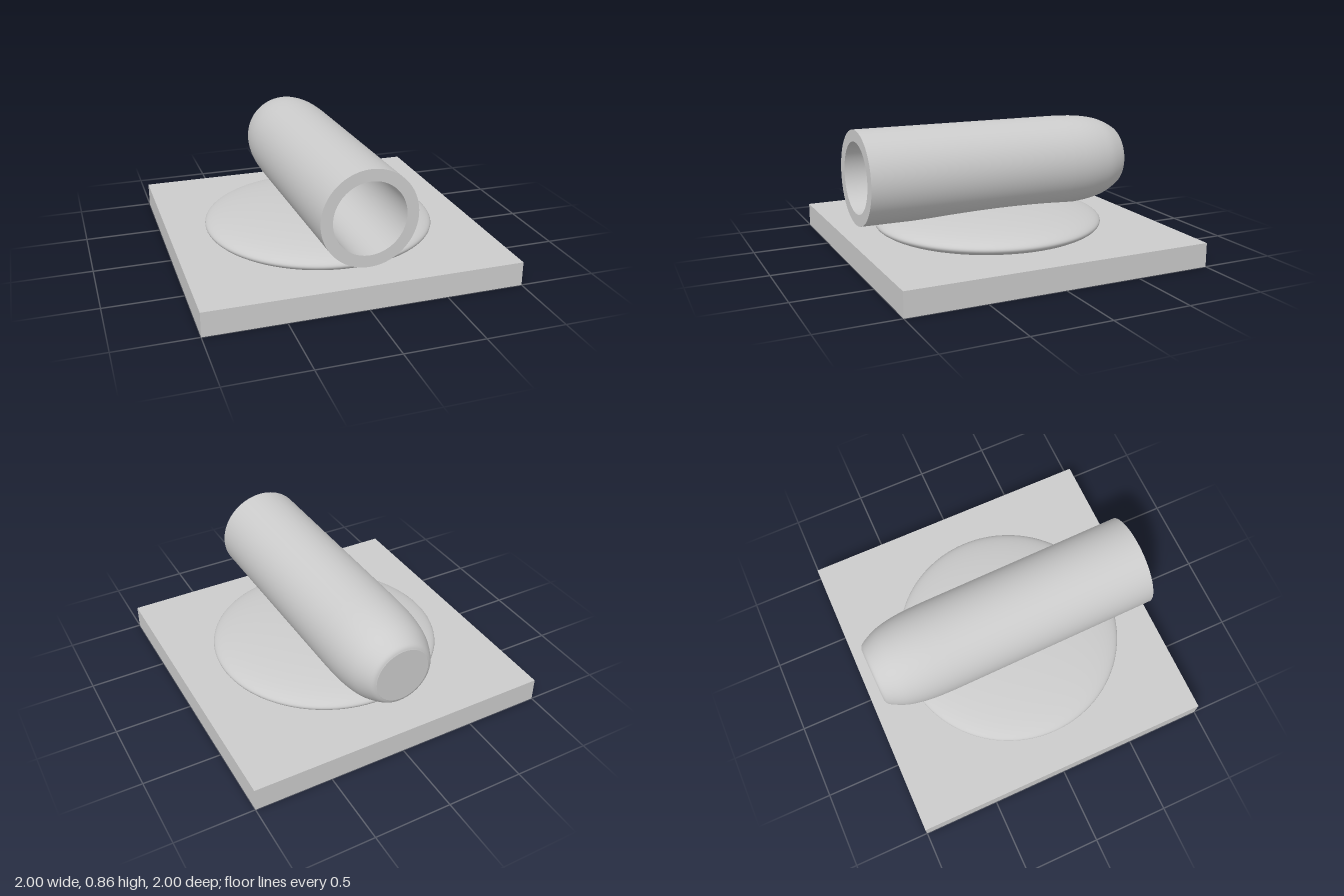
import * as THREE from 'three';

const material = new THREE.MeshStandardMaterial({ color: 0xcccccc });

function addMesh(parent, name, geometry) {
  const mesh = new THREE.Mesh(geometry, material);
  mesh.name = name;
  parent.add(mesh);
  return mesh;
}

// Surface of revolution; separate pieces keep the edges between them sharp
function addLathe(parent, name, points) {
  const profile = points.map((p) => (p.isVector2 ? p : new THREE.Vector2(...p)));
  return addMesh(parent, name, new THREE.LatheGeometry(profile, 96));
}

export function createModel() {
  const model = new THREE.Group();
  model.name = 'tubeOnStand';

  // Square base plate
  const base = addMesh(model, 'basePlate', new THREE.BoxGeometry(2, 0.155, 2));
  base.position.y = 0.0775;

  // Flattened dome, partly sunk into the plate
  const dome = addMesh(model, 'dome', new THREE.SphereGeometry(1, 96, 48));
  dome.scale.set(0.752, 0.113, 0.752);
  dome.position.set(-0.01, 0.192, 0.037);

  // Slightly tilted tube: local y runs along its axis, the open mouth at y = 0
  const front = new THREE.Vector3(0.013, 0.555, 0.945);
  const back = new THREE.Vector3(-0.016, 0.534, -0.92);
  const length = front.distanceTo(back);
  const outerRadius = 0.302, boreRadius = 0.228, boreDepth = 1.6, capRadius = 0.18;

  const tube = new THREE.Group();
  tube.name = 'tube';
  tube.position.copy(front);
  tube.quaternion.setFromUnitVectors(new THREE.Vector3(0, 1, 0), front.clone().sub(back).normalize());
  model.add(tube);

  // Outer wall: rounded taper at the back, straight towards the mouth
  const taper = new THREE.SplineCurve([
    [capRadius, 0], [0.213, 0.022], [0.262, 0.12], [0.286, 0.22], [0.298, 0.33], [outerRadius, 0.46],
  ].map(([r, y]) => new THREE.Vector2(r, y - length)));
  addLathe(tube, 'outerWall', [...taper.getPoints(30), [outerRadius, -1.3], [outerRadius, 0]]);
  addLathe(tube, 'backCap', [[0, -length], [capRadius, -length]]);

  // Mouth ring and blind bore
  addLathe(tube, 'mouthRim', [[outerRadius, 0], [boreRadius, 0]]);
  addLathe(tube, 'boreWall', [[boreRadius, 0], [boreRadius, -boreDepth]]);
  addLathe(tube, 'boreFloor', [[boreRadius, -boreDepth], [0, -boreDepth]]);

  return model;
}
